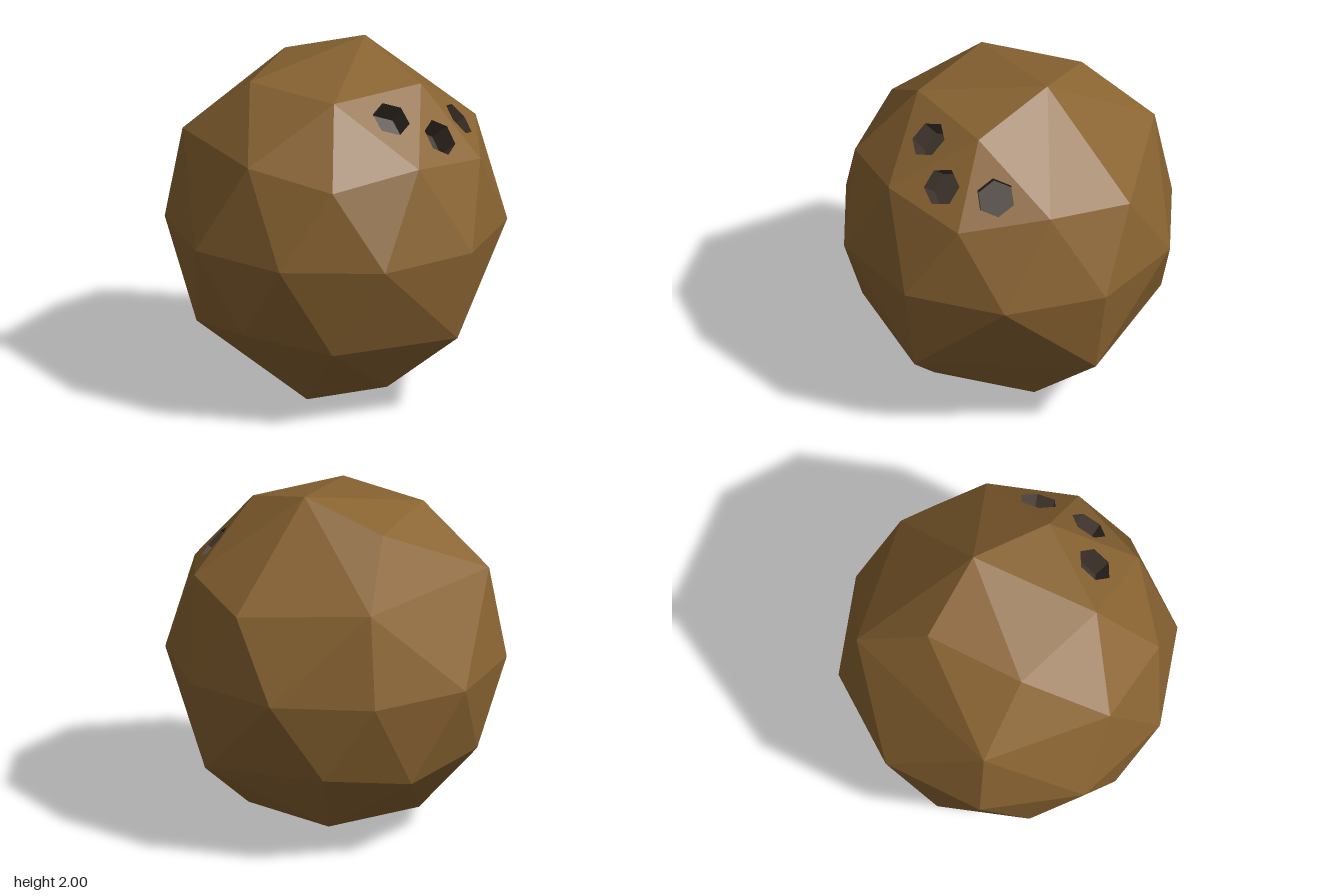
import * as THREE from 'three';
import { ConvexGeometry } from 'three/addons/geometries/ConvexGeometry.js';

const V = (x, y, z) => new THREE.Vector3(x, y, z);
const husk = new THREE.MeshStandardMaterial({ color: 0x8a6432, flatShading: true });
const dark = new THREE.MeshStandardMaterial({ color: 0x40352d, flatShading: true, side: THREE.DoubleSide });

// A point on a horizontal ring; step counts fifths of a turn from +x towards +z
const ringPoint = (radius, y, step) => {
  const a = step * Math.PI * 0.4;
  return V(radius * Math.cos(a), y, radius * Math.sin(a));
};
const capRing = i => ringPoint(0.5, 0.854, i);
const shoulder = i => ringPoint(0.851, 0.45, i);
const between = i => ringPoint(0.81, 0.526, i + 0.5);

// Triangle with a six-sided pit sunk into its middle
function pittedFace(corners, radius, depth) {
  const [a, b, c] = corners;
  const centre = V(0, 0, 0).add(a).add(b).add(c).divideScalar(3);
  const n = b.clone().sub(a).cross(c.clone().sub(a)).normalize();
  if (n.dot(centre) < 0) n.negate();
  const u = c.clone().sub(centre).normalize();
  const v = n.clone().cross(u);
  const flat = corners.map(p => {
    const d = p.clone().sub(centre);
    return new THREE.Vector2(d.dot(u), d.dot(v));
  });
  const shape = new THREE.Shape(flat);
  const rim = [];
  for (let i = 0; i < 6; i++) {
    const t = i * Math.PI / 3;
    rim.push(new THREE.Vector2(radius * Math.cos(t), radius * Math.sin(t)));
  }
  shape.holes.push(new THREE.Path(rim));

  const face = new THREE.Mesh(new THREE.ShapeGeometry(shape), husk);
  face.name = 'shellFace';
  const wall = new THREE.Mesh(
    new THREE.CylinderGeometry(radius, radius, depth, 6, 1, true)
      .rotateX(Math.PI / 2).rotateZ(Math.PI / 2).translate(0, 0, -depth / 2), dark);
  wall.name = 'pitWall';
  const floor = new THREE.Mesh(new THREE.CircleGeometry(radius, 6).translate(0, 0, -depth), dark);
  floor.name = 'pitFloor';

  const group = new THREE.Group();
  group.name = 'eyePit';
  group.add(face, wall, floor);
  group.quaternion.setFromRotationMatrix(new THREE.Matrix4().makeBasis(u, v, n));
  group.position.copy(centre);
  return { group, centre };
}

export function createModel() {
  const model = new THREE.Group();
  model.name = 'coconut';
  const body = new THREE.Group();
  body.name = 'body';
  body.position.y = 1;
  model.add(body);

  // Faceted shell points: equator, off-centre tips, and rings with a few merged points
  const points = [];
  for (let i = 0; i < 10; i++) points.push(ringPoint(0.953, 0, i / 2 + 0.25));
  const upper = [V(0.08, 1, -0.26), shoulder(0), shoulder(1), shoulder(4),
    between(0), between(1), between(4)];
  for (let i = 0; i < 4; i++) upper.push(capRing(i));
  const lower = [V(0.08, 1, -0.26), shoulder(0), shoulder(1), shoulder(4),
    between(0), between(3), between(4)];
  for (let i = 0; i < 4; i++) lower.push(capRing(i));
  points.push(...upper, V(-0.81, 0.525, 0.27), V(-0.5, 0.525, -0.69));
  points.push(...lower.map(p => p.clone().negate()), V(0.81, -0.525, 0.27), V(0.5, -0.525, -0.69));

  // Three pits, one in each of three neighbouring facets
  const pits = [
    [capRing(0), capRing(1), between(0)],
    [capRing(0), shoulder(0), between(0)],
    [capRing(0), shoulder(0), between(4)],
  ].map(corners => pittedFace(corners, 0.11, 0.13));
  pits.forEach(p => body.add(p.group));

  // Shell without the three pitted facets
  const hull = new ConvexGeometry(points).getAttribute('position');
  const kept = [];
  for (let i = 0; i < hull.count; i += 3) {
    const tri = [0, 1, 2].map(k => V(0, 0, 0).fromBufferAttribute(hull, i + k));
    const mid = V(0, 0, 0).add(tri[0]).add(tri[1]).add(tri[2]).divideScalar(3);
    if (pits.some(p => p.centre.distanceTo(mid) < 0.01)) continue;
    tri.forEach(p => kept.push(p.x, p.y, p.z));
  }
  const geometry = new THREE.BufferGeometry();
  geometry.setAttribute('position', new THREE.Float32BufferAttribute(kept, 3));
  geometry.computeVertexNormals();
  const shell = new THREE.Mesh(geometry, husk);
  shell.name = 'shell';
  body.add(shell);
  return model;
}
